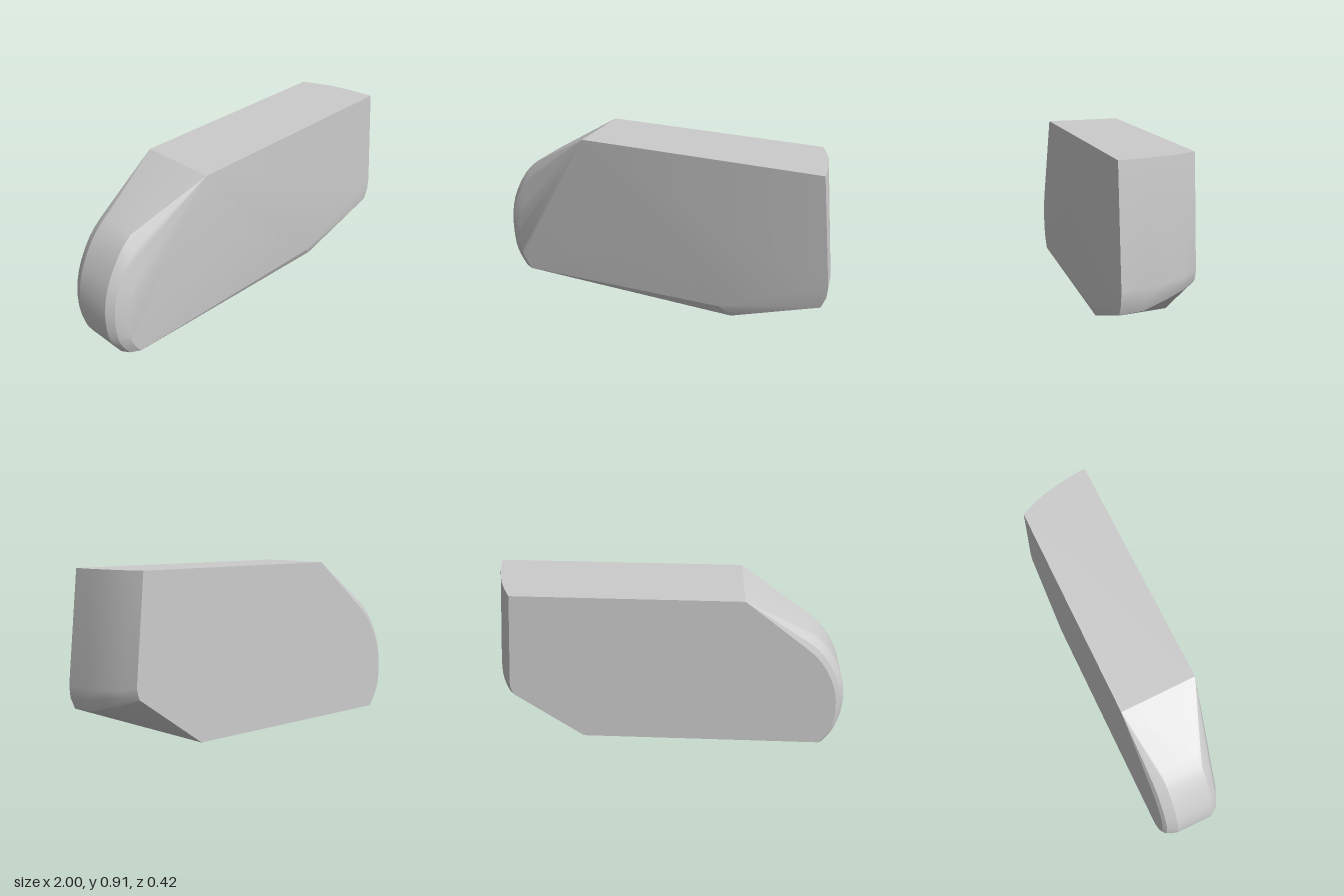
import * as THREE from 'three';
import { ConvexGeometry } from 'three/addons/geometries/ConvexGeometry.js';
import { toCreasedNormals } from 'three/addons/utils/BufferGeometryUtils.js';

export function createModel() {
  const group = new THREE.Group();
  const points = [];
  const add = (x, y, z) => points.push(new THREE.Vector3(x, y, z));

  // Flat top, front face and underside corners
  add(-0.41, 0.91, 0.21);
  add(-0.42, 0.91, -0.21);
  add(-0.03, 0.34, 0.21);
  add(0.41, 0.06, 0.21);
  add(0.47, 0, 0.18);
  add(0.47, 0, -0.21);

  // Rounded nose: one outline, drawn in towards both side faces
  const nose = new THREE.CatmullRomCurve3([
    [-0.7, 0.74], [-0.8, 0.68], [-0.88, 0.6], [-0.95, 0.48], [-0.985, 0.38],
    [-1, 0.26], [-0.99, 0.14], [-0.965, 0.07], [-0.92, 0],
  ].map(([x, y]) => new THREE.Vector3(x, y, 0))).getPoints(16);
  const rings = [[-0.21, 0.92], [-0.195, 0.96], [-0.14, 1], [0.07, 1], [0.11, 0.95], [0.14, 0.85]];
  for (const [z, s] of rings) {
    for (const p of nose) add(-0.41 + (p.x + 0.41) * s, Math.max(0, p.y * s), z);
  }

  // Bowed end face: x at the top and at the widest height, with the lower rim
  const end = [
    // z, top x, wide x, wide y, rim x, rim y
    [0.21, 0.94, 1.0, 0.31, 0.97, 0.185],
    [0.08, 0.923, 0.98, 0.31, 0.953, 0.19],
    [-0.05, 0.891, 0.945, 0.32, 0.92, 0.225],
    [-0.14, 0.855, 0.908, 0.32, 0.888, 0.25],
    [-0.21, 0.82, 0.87, 0.34, 0.855, 0.28],
  ];
  for (const [z, topX, wideX, wideY, rimX, rimY] of end) {
    add(topX, 0.91, z);
    add(wideX, wideY, z);
    add(wideX - 0.005, (wideY + rimY) / 2, z);
    add(rimX, rimY, z);
  }

  const body = new THREE.Mesh(
    toCreasedNormals(new ConvexGeometry(points), 0.4),
    new THREE.MeshStandardMaterial({ color: 0xcccccc }),
  );
  body.name = 'body';
  group.add(body);
  return group;
}
